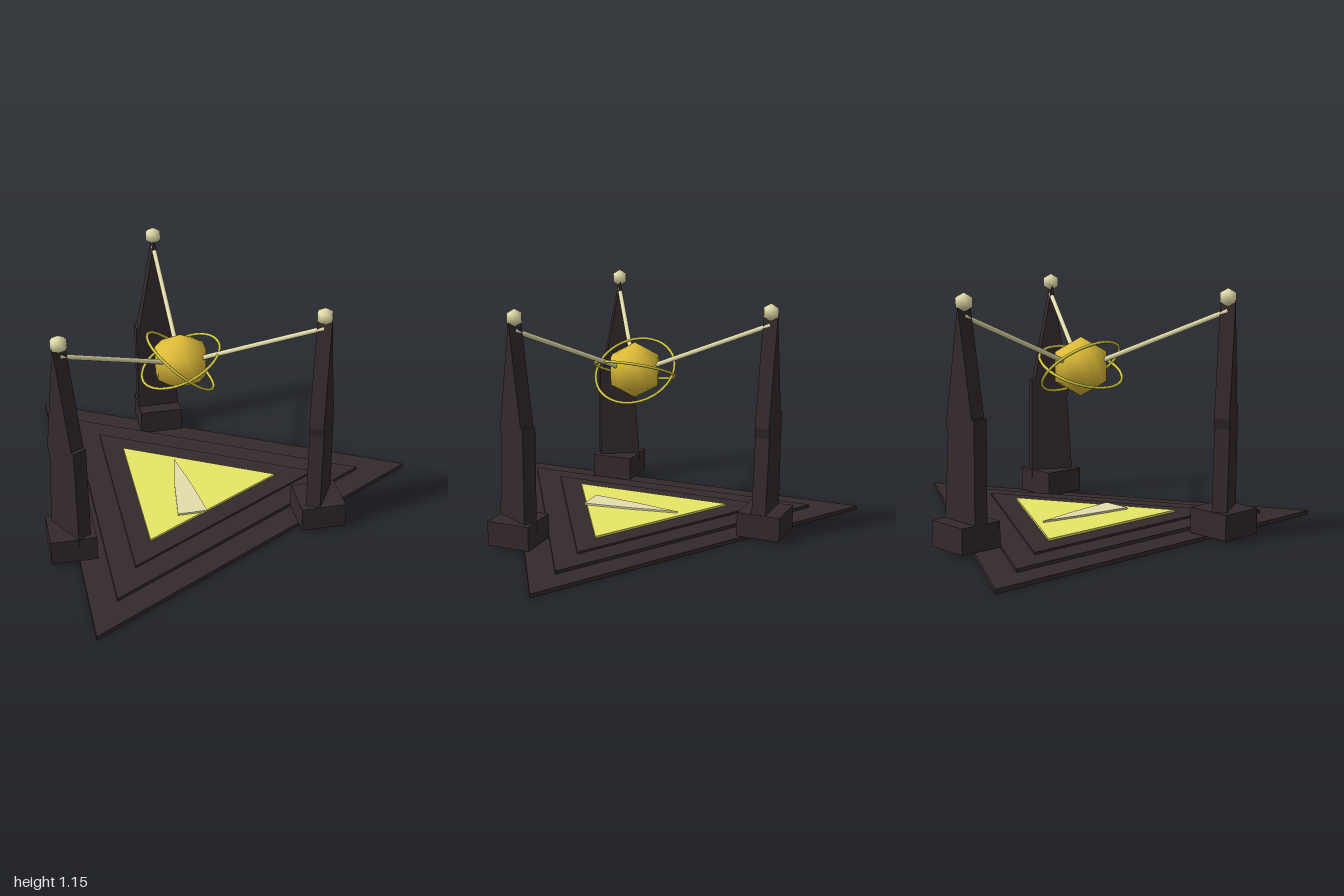
import * as THREE from 'three';

function material(name, color, flatShading = false) {
  const m = new THREE.MeshStandardMaterial({ color, flatShading });
  m.name = name;
  return m;
}

export function createModel() {
  const stone = material('dark stone', 0x342a2c, true);
  const lime = material('yellow inlay', 0xe8e868, true);
  const ringYellow = material('ring yellow', 0xd6cc40);
  const gold = material('gold', 0xe4c03a);
  const cream = material('cream', 0xe4deac);

  const model = new THREE.Group();
  const centre = new THREE.Group();
  centre.name = 'shrine';
  centre.position.x = -0.225;
  model.add(centre);

  function add(parent, name, geometry, mat, x = 0, y = 0, z = 0) {
    const mesh = new THREE.Mesh(geometry, mat);
    mesh.name = name;
    mesh.position.set(x, y, z);
    parent.add(mesh);
    return mesh;
  }

  // Flat outline pushed out to a given thickness
  function extrude(points, depth) {
    const shape = new THREE.Shape(points.map(([x, y]) => new THREE.Vector2(x, y)));
    return new THREE.ExtrudeGeometry(shape, { depth, bevelEnabled: false });
  }

  // Stepped triangular floor: radius, bottom, top
  const steps = [
    ['lowerStep', 1.152, 0, 0.02, stone],
    ['middleStep', 0.902, 0.02, 0.036, stone],
    ['upperStep', 0.67, 0.036, 0.046, stone],
    ['floorInlay', 0.47, 0.046, 0.056, lime],
  ];
  for (const [name, r, y0, y1, mat] of steps) {
    const g = new THREE.CylinderGeometry(r, r, y1 - y0, 3, 1, false, Math.PI / 2);
    add(centre, name, g, mat, 0, (y0 + y1) / 2, 0);
  }

  // Tapered plate lying on the inlay, pointing to the back
  const bladeGeo = extrude([[-0.072, -0.245], [0.072, -0.245], [0.042, 0], [0, 0.235], [-0.042, 0]], 0.009);
  bladeGeo.rotateX(-Math.PI / 2);
  add(centre, 'pointedPlate', bladeGeo, cream, 0, 0.056, 0);

  // Thin obelisk slab with a notched shoulder
  const slabGeo = extrude([
    [-0.107, 0.1], [0.107, 0.1], [0.078, 0.52], [0.09, 0.57], [0, 1.1], [-0.09, 0.61], [-0.107, 0.61],
  ], 0.07);
  slabGeo.translate(0, 0, -0.035);

  // Rod from the pillar top down to the orb
  const rodStart = new THREE.Vector3(0, 1.05, -0.69);
  const rodEnd = new THREE.Vector3(0, 0.79, -0.08);
  const rodGeo = new THREE.TubeGeometry(new THREE.LineCurve3(rodStart, rodEnd), 1, 0.012, 8);

  // Three pillars around the orb, on blocks that all face the front
  const radius = 0.69;
  ['backPillar', 'leftPillar', 'rightPillar'].forEach((name, i) => {
    const angle = i * Math.PI * 2 / 3;
    const arm = new THREE.Group();
    arm.name = name;
    arm.rotation.y = angle;
    centre.add(arm);
    add(arm, 'obelisk', slabGeo, stone, 0, 0, -radius);
    add(arm, 'rod', rodGeo, cream);
    const x = -radius * Math.sin(angle), z = -radius * Math.cos(angle);
    add(centre, 'pillarBlock', new THREE.BoxGeometry(0.215, 0.12, 0.215), stone, x, 0.083, z);
    add(centre, 'finial', new THREE.SphereGeometry(0.043, 8, 3), cream, x, 1.11, z);
  });

  // Floating orb and its two tilted rings
  add(centre, 'orb', new THREE.SphereGeometry(0.14, 10, 3, Math.PI / 2), gold, 0, 0.768, 0);
  for (const tilt of [-0.7, 0.4]) {
    const g = new THREE.TorusGeometry(0.2, 0.007, 6, 40);
    g.rotateX(Math.PI / 2);
    add(centre, 'ring', g, ringYellow, 0, 0.767, 0).rotation.z = tilt;
  }

  return model;
}
